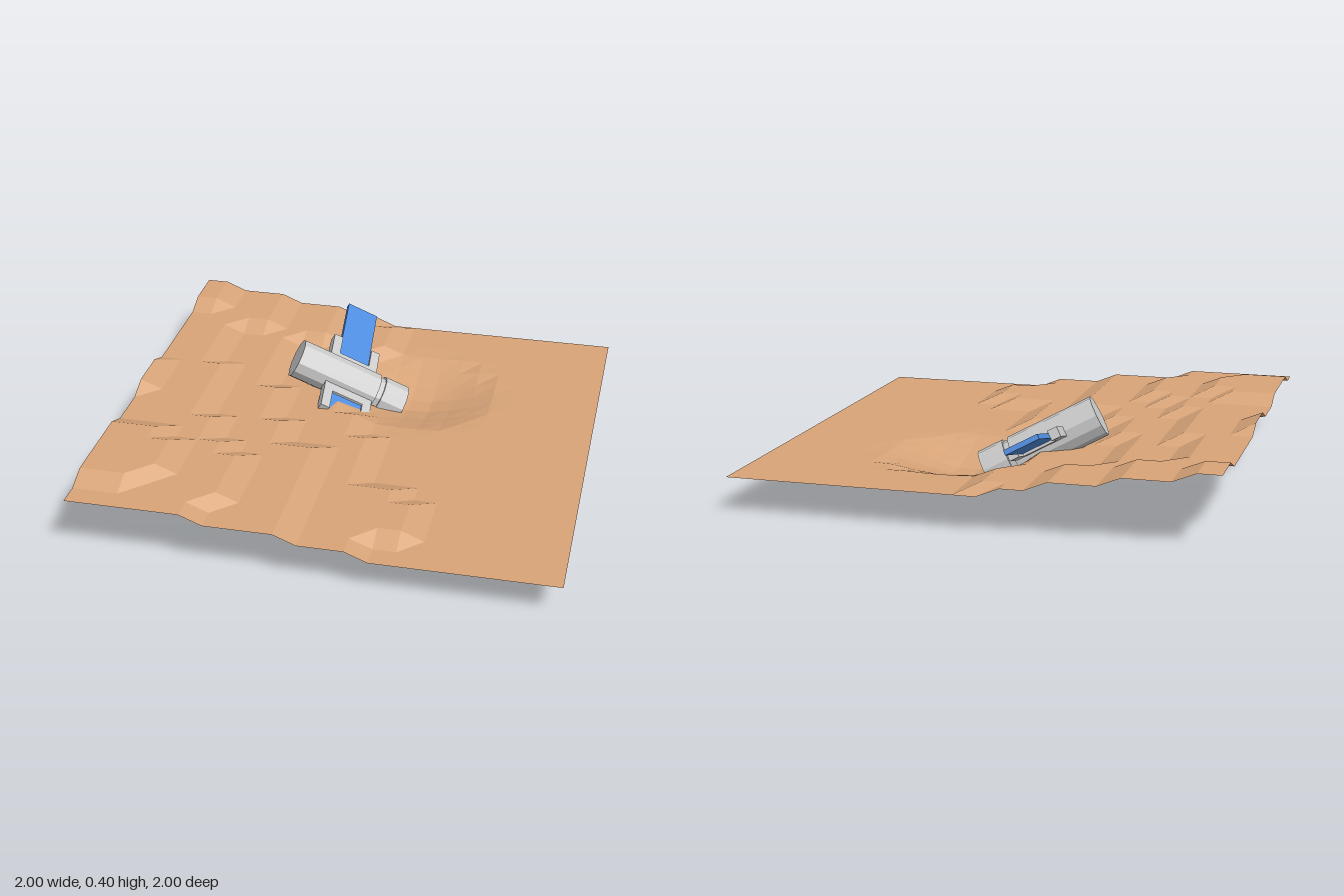
import * as THREE from 'three';

const N = 21;

// Last grid column of each raised terrace, for every row from back to front
const TERRACES = [
  [1, 1, 1, -1, -1, -1, -1, -1, -1, 0, 0, 0, -1, -1, -1, 2, 3, 3, 3, 2, -1, -1],
  [4, 4, 4, 4, 2, 2, 2, 2, 3, 3, 3, 3, 3, 4, 4, 5, 6, 6, 6, 6, 5, 5],
  [7, 7, 7, 7, 5, 5, 5, 5, 5, 6, 6, 6, 7, 7, 9, 9, 9, 9, 9, 9, 9, 9],
  [9, 10, 10, 10, 9, 9, 9, 9, 9, 9, 10, 10, 11, 11, 11, 11, 13, 14, 14, 14, 12, 12],
];

function groundHeight(i, j, x, z) {
  const steps = TERRACES.filter((row) => i <= row[j]).length;
  const r = Math.hypot(x - 0.19, z + 0.38);
  const crater = 0.08 * THREE.MathUtils.clamp(1 - (r - 0.08) / 0.27, 0, 1);
  return 0.153 + 0.039 * steps - crater;
}

function material(color, side = THREE.FrontSide) {
  return new THREE.MeshStandardMaterial({ color, flatShading: true, side });
}

export function createModel() {
  const model = new THREE.Group();
  const grey = material(0xcccccc);
  const blue = material(0x4f8de0);
  const add = (parent, name, geometry, mat, x = 0, y = 0, z = 0) => {
    const mesh = new THREE.Mesh(geometry, mat);
    mesh.name = name;
    mesh.position.set(x, y, z);
    parent.add(mesh);
    return mesh;
  };

  // Terraced ground with an impact crater
  const ground = new THREE.PlaneGeometry(2, 2, N, N).rotateX(-Math.PI / 2);
  const p = ground.attributes.position;
  for (let k = 0; k < p.count; k++) {
    const i = k % (N + 1), j = Math.floor(k / (N + 1));
    p.setY(k, groundHeight(i, j, p.getX(k), p.getZ(k)));
  }
  ground.computeVertexNormals();
  add(model, 'ground', ground, material(0xd8a478, THREE.DoubleSide));

  // Crashed satellite: local x runs along the body, local z along the panels
  const satellite = new THREE.Group();
  satellite.name = 'satellite';
  const axis = new THREE.Vector3(0.46, -0.245, -0.1).normalize();
  const span = new THREE.Vector3(-0.16, 0.27, -0.95).negate();
  span.addScaledVector(axis, -span.dot(axis)).normalize();
  const up = new THREE.Vector3().crossVectors(span, axis);
  satellite.quaternion.setFromRotationMatrix(new THREE.Matrix4().makeBasis(axis, up, span));
  satellite.position.set(-0.13, 0.203, -0.315);
  model.add(satellite);

  // Body with a shallow groove near the lower end
  const profile = [
    [0, -0.265], [0.09, -0.265], [0.09, 0.125], [0.08, 0.125],
    [0.08, 0.15], [0.09, 0.15], [0.09, 0.265], [0, 0.265],
  ].map(([r, y]) => new THREE.Vector2(r, y));
  add(satellite, 'body', new THREE.LatheGeometry(profile, 12).rotateZ(-Math.PI / 2), grey);

  // Solar panels, each held by a U-shaped bracket
  for (const s of [-1, 1]) {
    const wing = new THREE.Group();
    wing.name = s < 0 ? 'backWing' : 'frontWing';
    satellite.add(wing);
    add(wing, 'solarPanel', new THREE.BoxGeometry(0.15, 0.022, 0.4), blue, 0, 0, s * 0.3);
    add(wing, 'bracketBase', new THREE.BoxGeometry(0.15, 0.045, 0.08), grey, 0, 0, s * 0.09);
    for (const side of [-1, 1]) {
      add(wing, 'bracketRail', new THREE.BoxGeometry(0.042, 0.045, 0.19), grey, side * 0.096, 0, s * 0.145);
    }
  }
  return model;
}
